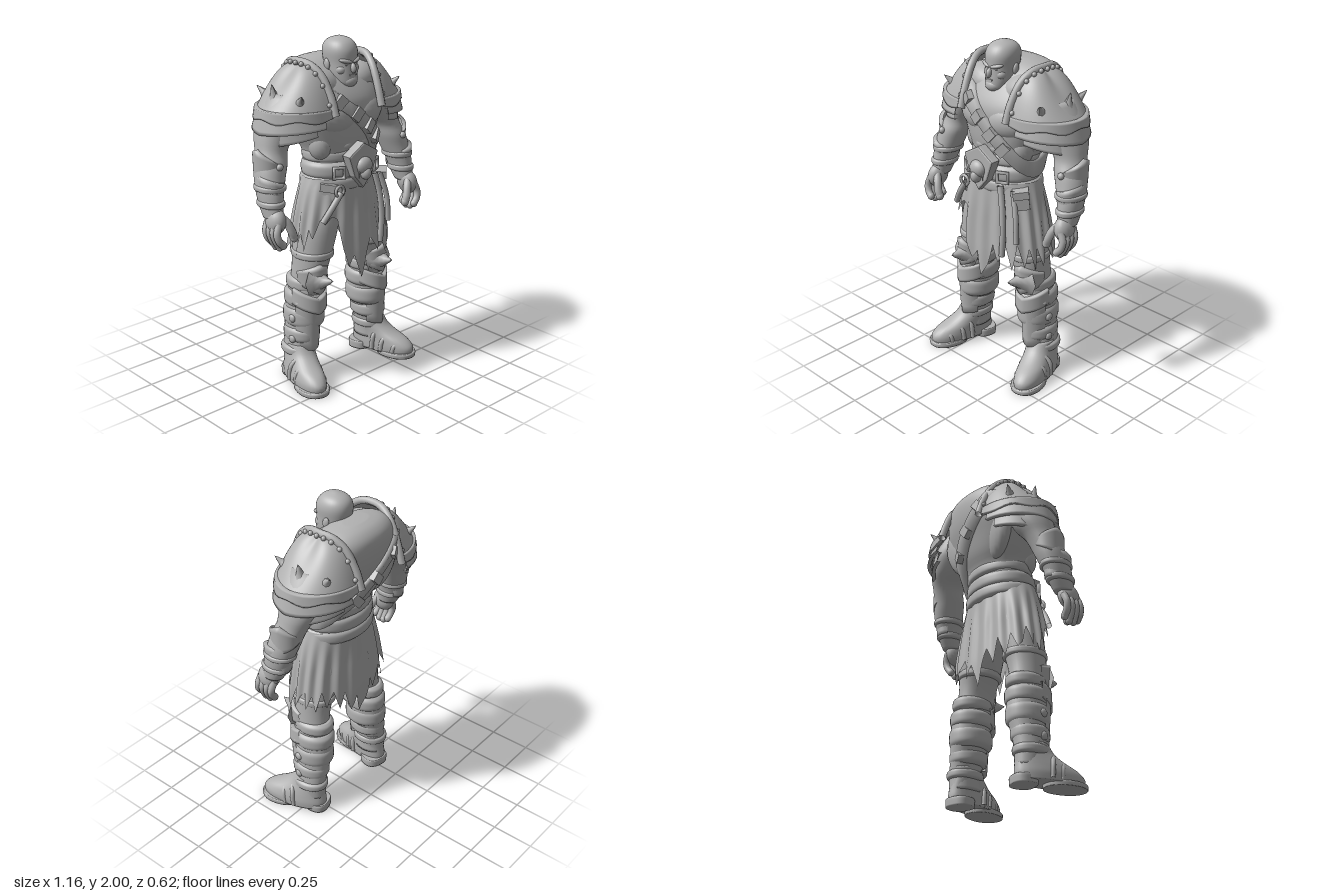
import * as THREE from 'three';

const { sin, cos, abs, min, max, PI } = Math;
const grey = new THREE.MeshStandardMaterial({ color: 0xb2b2b2, side: THREE.DoubleSide });
grey.name = 'stone grey';

function add(parent, name, geo, pos = [0, 0, 0], rot = [0, 0, 0], scale = [1, 1, 1]) {
  const m = new THREE.Mesh(geo, grey);
  m.name = name;
  m.position.set(...pos); m.rotation.set(...rot); m.scale.set(...scale);
  parent.add(m);
  return m;
}
// Surface from a rule fn(u, v) -> [x, y, z]; wrap closes it around u
function grid(fn, nu, nv, wrap = false) {
  const pos = [], idx = [], cols = wrap ? nu : nu + 1;
  for (let j = 0; j <= nv; j++) for (let i = 0; i < cols; i++) pos.push(...fn(i / nu, j / nv));
  for (let j = 0; j < nv; j++) for (let i = 0; i < nu; i++) {
    const a = j * cols + i, b = j * cols + (i + 1) % cols;
    idx.push(a, a + cols, b, b, a + cols, b + cols);
  }
  const g = new THREE.BufferGeometry();
  g.setAttribute('position', new THREE.Float32BufferAttribute(pos, 3));
  g.setIndex(idx);
  g.computeVertexNormals();
  return g;
}
// Point on a unit superellipse in the direction a
function ring(a, p) {
  const c = cos(a), s = sin(a), r = (abs(c) ** p + abs(s) ** p) ** (-1 / p);
  return [r * c, r * s];
}
// Rounded body through rows [y, cx, cz, rx, rz], listed from the bottom up
function loft(rows, p = 2, nu = 32) {
  const steps = (rows.length - 1) * 4, cr = (a, b, c, d, t) =>
    b + 0.5 * t * (c - a + t * (2 * a - 5 * b + 4 * c - d + t * (3 * (b - c) + d - a)));
  return grid((u, v) => {
    const k = v * (steps + 2) - 1, s = min(max(k, 0), steps) / 4;
    const i = min(Math.floor(s + 1e-6), rows.length - 2), at = n => rows[min(max(n, 0), rows.length - 1)];
    const r = rows[0].map((_, c) => cr(at(i - 1)[c], at(i)[c], at(i + 1)[c], at(i + 2)[c], s - i));
    const q = k < -0.5 || k > steps + 0.5 ? 0 : 1, [ex, ez] = ring(u * 2 * PI, p);
    return [r[1] + q * r[3] * ex, r[0], r[2] + q * r[4] * ez];
  }, nu, steps + 2, true);
}
// Curved armour plate around a vertical axis; t runs -1..1 across it
function plate(parent, name, [cx, cz], [rx, rz], mid, half, bot, top, flare = 0, ridge = 0) {
  return add(parent, name, grid((u, v) => {
    const t = 2 * u - 1, a = mid + t * half, w = min(max((v * 8 - 1) / 6, 0), 1);
    const k = 1 + flare * (1 - w) + ridge * (1 - abs(t)) - (v === 0 || v === 1 ? 0.025 / rx : 0);
    return [cx + rx * k * cos(a), bot(t) + (top(t) - bot(t)) * w, cz + rz * k * sin(a)];
  }, 24, 8));
}
const ball = (p, name, pos, s, rot) => add(p, name, new THREE.SphereGeometry(1, 20, 14), pos, rot, s);
const box = (p, name, pos, s, rot) => add(p, name, new THREE.BoxGeometry(...s), pos, rot);
const tube = (p, name, pts, r, n = 20) => add(p, name, new THREE.TubeGeometry(
  new THREE.CatmullRomCurve3(pts.map(q => new THREE.Vector3(...q))), n, r, 10));
// Puffy strap around a limb or waist
const band = (p, name, y, h, cx, cz, rx, rz, b = 0.015) => add(p, name, loft(
  [[-1, -0.008], [-0.6, b * 0.75], [0, b], [0.6, b * 0.75], [1, -0.008]].map(([t, o]) => [y + t * h, cx, cz, rx + o, rz + o])));
// Curved horn: tip bends by bend in local z
function horn(p, name, pos, rot, r, h, bend = 0) {
  const g = new THREE.ConeGeometry(r, h, 8, 5), a = g.attributes.position;
  for (let i = 0; i < a.count; i++) {
    const t = a.getY(i) / h + 0.5, k = 1 - 0.35 * sin(PI * t);
    a.setXYZ(i, a.getX(i) * k, t * h, a.getZ(i) * k + bend * t * t);
  }
  g.computeVertexNormals();
  return add(p, name, g, pos, rot);
}

const torsoRows = [
  [1.02, 0, 0, 0.22, 0.13], [1.2, 0, 0.015, 0.215, 0.15], [1.35, 0, 0.01, 0.21, 0.155],
  [1.45, 0, -0.005, 0.25, 0.185], [1.55, 0, -0.018, 0.295, 0.203], [1.65, 0, -0.035, 0.315, 0.215],
  [1.75, 0, -0.07, 0.3, 0.19], [1.82, 0, -0.1, 0.25, 0.15], [1.865, 0, -0.11, 0.18, 0.1], [1.885, 0, -0.11, 0.08, 0.045]];

function torso(g) {
  add(g, 'torso', loft(torsoRows, 2.3, 48));
  add(g, 'neck', loft([[1.64, 0, 0.02, 0.15, 0.13], [1.73, 0, 0.01, 0.115, 0.1], [1.84, 0, 0, 0.088, 0.075]]));
  for (const s of [-1, 1]) {
    ball(g, 'chestMuscle', [s * 0.125, 1.575, 0.11], [0.14, 0.1, 0.08], [0, s * 0.3, s * 0.15]);
    ball(g, 'collarMuscle', [s * 0.13, 1.73, 0.0], [0.15, 0.1, 0.12], [0, 0, s * 0.25]);
    ball(g, 'backMuscle', [s * 0.14, 1.58, -0.125], [0.15, 0.2, 0.065], [0, s * 0.25, s * -0.2]);
    for (let i = 0; i < 3; i++) ball(g, 'abdominal', [s * 0.05, 1.47 - i * 0.06, 0.14], [0.05, 0.034, 0.036]);
    ball(g, 'sideMuscle', [s * 0.165, 1.42, 0.06], [0.07, 0.1, 0.075]);
  }
  // Diagonal chest strap that follows the body
  const body = y => {
    const i = min(max(torsoRows.findIndex(r => r[0] > y), 1), 9), a = torsoRows[i - 1], b = torsoRows[i];
    return a.map((v, k) => v + (b[k] - v) * (y - a[0]) / (b[0] - a[0]));
  };
  const on = (a, dy, off) => {
    const y = min(1.57 - 0.27 * cos(a), 1.72) + dy, [, , cz, rx, rz] = body(y), [ex, ez] = ring(a, 2.3);
    return [(rx + off) * ex, y, cz + (rz + off) * ez];
  };
  const prof = [[-0.05, 0], [-0.045, 0.028], [0.045, 0.028], [0.05, 0]];
  add(g, 'chestStrap', grid((u, v) => on(u * 2 * PI, ...prof[Math.round(v * 3)]), 64, 3, true));
  for (const a of [1.05, 1.35, 1.65, 1.95, 4.3, 4.7, 5.1])
    box(g, 'strapPouch', on(a, 0, 0.025), [0.055, 0.075, 0.035], [0, PI / 2 - a, a < 3 ? -0.75 : 0.75]);
}

function head(g) {
  add(g, 'head', loft([[1.735, 0, 0.085, 0.04, 0.05], [1.75, 0, 0.075, 0.062, 0.072], [1.8, 0, 0.05, 0.08, 0.095],
    [1.86, 0, 0.04, 0.084, 0.1], [1.92, 0, 0.036, 0.089, 0.104], [1.96, 0, 0.033, 0.078, 0.09],
    [1.985, 0, 0.033, 0.053, 0.06], [2, 0, 0.033, 0.01, 0.012]], 2.2));
  ball(g, 'nose', [0, 1.835, 0.143], [0.016, 0.028, 0.02], [-0.3, 0, 0]);
  ball(g, 'beard', [0, 1.76, 0.112], [0.05, 0.036, 0.042]);
  box(g, 'mouth', [0, 1.797, 0.143], [0.05, 0.008, 0.012]);
  for (const s of [-1, 1]) {
    ball(g, 'brow', [s * 0.036, 1.874, 0.122], [0.04, 0.013, 0.022], [0, s * 0.35, s * 0.22]);
    ball(g, 'eye', [s * 0.033, 1.854, 0.123], [0.014, 0.007, 0.012]);
    ball(g, 'cheek', [s * 0.045, 1.825, 0.095], [0.032, 0.03, 0.034]);
    ball(g, 'ear', [s * 0.087, 1.85, 0.025], [0.012, 0.033, 0.021], [-0.2, 0, 0]);
  }
}

function waist(g) {
  band(g, 'waistWrap', 1.35, 0.04, 0, 0.01, 0.205, 0.155, 0.016);
  band(g, 'belt', 1.27, 0.05, 0, 0.02, 0.216, 0.165, 0.016);
  band(g, 'hipWrap', 1.195, 0.045, 0, 0.02, 0.226, 0.165, 0.018);
  // Central buckle: shield plate with a face-like boss
  const s = new THREE.Shape([[0, -0.12], [0.06, -0.05], [0.1, 0.06], [0.05, 0.09], [0, 0.12],
    [-0.05, 0.09], [-0.1, 0.06], [-0.06, -0.05]].map(p => new THREE.Vector2(...p)));
  add(g, 'buckleShield', new THREE.ExtrudeGeometry(s, { depth: 0.04, bevelSize: 0.01, bevelThickness: 0.012, bevelSegments: 2 }), [0, 1.3, 0.185]);
  ball(g, 'buckleBoss', [0, 1.3, 0.235], [0.055, 0.05, 0.04]);
  ball(g, 'buckleChin', [0, 1.26, 0.25], [0.03, 0.04, 0.035]);
  for (const k of [-1, 1]) {
    horn(g, 'buckleFang', [k * 0.04, 1.29, 0.24], [PI, 0, 0], 0.014, 0.06);
    add(g, 'sideBuckle', new THREE.TorusGeometry(0.042, 0.012, 8, 4), [k * 0.14, 1.27, 0.185], [0, k * 0.5, PI / 4]);
    box(g, 'pouch', [0.03 + k * 0.2, 1.15, 0.125], [0.085, 0.11, 0.07], [0, k * 0.8, k * 0.12]);
    box(g, 'pouchFlap', [0.03 + k * 0.2, 1.185, 0.13], [0.092, 0.045, 0.08], [0, k * 0.8, k * 0.12]);
  }
  // Ragged skirt with folds; hem heights run from the left side through the front
  const hem = [.82, .74, .85, .72, .86, .74, .88, .72, .86, .75, .84, .7, .62, .76, .7, .82, 1, 1.02, .98, 1, .9, .95, .82, .92,
    .78, .9, .8, .92, .82, .78, .88, .74, .86, .72, .82, .7, .62, .76, .68, .82, .74, .86, .76, .88, .74, .84, .76, .86];
  add(g, 'raggedSkirt', grid((u, v) => {
    const i = Math.floor(u * 48), f = u * 48 - i, a = u * 2 * PI;
    const b = hem[i] * (1 - f) + hem[(i + 1) % 48] * f, y = 1.23 + (b - 1.23) * (1 - v);
    const d = min(1, max(0, (1.22 - y) / 0.45)), k = 0.009 * sin(a * 17) * min(1, d * 2);
    const rx = 0.24 + 0.09 * d ** 0.7 + k, rz = 0.165 + 0.022 * d + k, [ex, ez] = ring(a, 2 + 0.8 * d);
    return [rx * ex, y, 0.028 + rz * ez];
  }, 192, 14, true));
  // Hanging straps, tools and tassels
  tube(g, 'hangingStrap', [[0.13, 1.22, 0.19], [0.16, 1.08, 0.205], [0.17, 0.95, 0.21], [0.16, 0.8, 0.21]], 0.018);
  tube(g, 'hangingStrap', [[0.2, 1.2, 0.16], [0.24, 1.05, 0.18], [0.25, 0.9, 0.185]], 0.016);
  tube(g, 'toolHandle', [[-0.14, 1.16, 0.2], [-0.2, 1.08, 0.19], [-0.25, 1.0, 0.17]], 0.018);
  add(g, 'toolRing', new THREE.TorusGeometry(0.03, 0.009, 8, 20), [-0.15, 1.17, 0.2]);
}

function pauldron(g) {
  const C = [0.2, -0.05];
  add(g, 'shoulderDome', grid((u, v) => {
    const a = (u - 0.5) * PI, f = 1 - v, e = 1.35 + 1.65 * sin(a) ** 2;
    return [C[0] + 0.29 * f * cos(a), 1.6 + 0.27 * (1 - f ** e), C[1] + 0.24 * f * sin(a)];
  }, 32, 16));
  plate(g, 'shoulderEdge', C, [0.285, 0.235], 0, 1.6, t => 1.585 + 0.01 * cos(t * 12), () => 1.64, 0.03, 0.02);
  plate(g, 'shoulderLame', C, [0.265, 0.22], 0, 1.45, t => 1.51 + 0.03 * abs(t), () => 1.62, 0.1, 0.08);
  plate(g, 'shoulderLame', C, [0.25, 0.205], 0, 1.3, t => 1.435 + 0.06 * abs(t), () => 1.56, 0.05, 0.1);
  // Raised collar rim with studs
  const rim = f => [0.2 + 0.025 * cos(f * 3), 1.6 + 0.275 * (1 - abs(f) ** 3), -0.05 + 0.245 * f];
  tube(g, 'collarRim', [-1, -0.85, -0.6, -0.3, 0, 0.3, 0.6, 0.85, 1].map(rim), 0.022, 40);
  for (let i = -5; i <= 5; i++) {
    const [x, y, z] = rim(i / 5.5);
    ball(g, 'rimStud', [x + 0.025, y - 0.005, z], [0.014, 0.014, 0.014]);
  }
  horn(g, 'shoulderSpike', [0.385, 1.67, -0.06], [0, 0, -0.25], 0.055, 0.11);
  horn(g, 'shoulderSpike', [0.335, 1.67, 0.08], [0.75, 0, -0.4], 0.055, 0.095);
  horn(g, 'shoulderSpike', [0.335, 1.67, -0.18], [-0.75, 0, -0.4], 0.055, 0.095);
}

function arm(g) {
  add(g, 'arm', loft([[1.07, 0.512, 0.055, 0.048, 0.066], [1.13, 0.507, 0.033, 0.058, 0.078], [1.2, 0.5, 0.016, 0.07, 0.087],
    [1.28, 0.482, -0.005, 0.084, 0.092], [1.35, 0.46, -0.02, 0.09, 0.094], [1.42, 0.435, -0.045, 0.09, 0.095],
    [1.5, 0.395, -0.06, 0.115, 0.12], [1.6, 0.355, -0.06, 0.125, 0.135], [1.72, 0.31, -0.05, 0.09, 0.11]]));
  plate(g, 'elbowGuard', [0.465, -0.02], [0.088, 0.095], -0.15, 1.5, t => 1.27 + 0.07 * abs(t), t => 1.44 - 0.07 * abs(t), -0.05, 0.1);
  ball(g, 'elbowStud', [0.475, 1.35, 0.075], [0.02, 0.02, 0.018]);
  plate(g, 'bracer', [0.497, 0.018], [0.068, 0.087], -0.1, 2.3, t => 1.13 + 0.02 * abs(t), t => 1.3 - 0.04 * abs(t), -0.08, 0.06);
  band(g, 'bracerStrap', 1.23, 0.02, 0.494, 0.01, 0.074, 0.089, 0.01);
  band(g, 'wristStrap', 1.145, 0.022, 0.506, 0.03, 0.06, 0.08, 0.01);
  // Hand with relaxed fingers
  ball(g, 'palm', [0.515, 1.055, 0.08], [0.05, 0.075, 0.068], [-0.2, 0, 0.12]);
  for (let i = 0; i < 4; i++) {
    const z = 0.03 + i * 0.032, d = 0.925 - 0.02 * sin(i * 1.1);
    tube(g, 'finger', [[0.53, 1.05, z], [0.55, 0.995, z + 0.006], [0.54, 0.955, z + 0.012], [0.515, d, z + 0.016]], 0.021, 12);
    ball(g, 'fingertip', [0.515, d, z + 0.016], [0.021, 0.023, 0.021]);
  }
  tube(g, 'thumb', [[0.5, 1.08, 0.1], [0.47, 1.04, 0.125], [0.45, 0.99, 0.14], [0.437, 0.955, 0.14]], 0.024, 12);
  ball(g, 'thumbTip', [0.437, 0.955, 0.14], [0.024, 0.027, 0.024]);
}

function leg(g) {
  add(g, 'leg', loft([[0.1, 0.285, -0.01, 0.075, 0.1], [0.2, 0.285, -0.01, 0.078, 0.098], [0.3, 0.267, -0.01, 0.085, 0.105],
    [0.4, 0.25, -0.005, 0.1, 0.12], [0.5, 0.245, 0, 0.1, 0.12], [0.6, 0.237, 0.015, 0.09, 0.11], [0.7, 0.222, 0.025, 0.097, 0.115],
    [0.8, 0.2, 0.025, 0.112, 0.125], [0.95, 0.165, 0.02, 0.125, 0.135], [1.1, 0.12, 0.01, 0.11, 0.13]]));
  band(g, 'thighStrap', 0.78, 0.025, 0.203, 0.025, 0.11, 0.125, 0.008);
  for (const [y, h, cx, rx, rz] of [[0.6, 0.04, 0.237, 0.09, 0.112], [0.51, 0.05, 0.243, 0.1, 0.12],
    [0.4, 0.06, 0.25, 0.1, 0.12], [0.29, 0.045, 0.268, 0.085, 0.105]])
    band(g, 'legWrap', y, h, cx, 0, rx, rz, 0.012);
  band(g, 'ankleCuff', 0.19, 0.03, 0.287, -0.01, 0.08, 0.1, 0.012);
  const f = PI / 2 - 0.15;
  plate(g, 'kneePlate', [0.235, 0.02], [0.098, 0.122], f, 1.3, t => 0.56 + 0.06 * abs(t), t => 0.74 - 0.05 * abs(t), -0.08, 0.18);
  horn(g, 'kneeSpike', [0.245, 0.635, 0.11], [PI / 2, 0, 0.08], 0.095, 0.13, -0.03);
  plate(g, 'kneeLame', [0.245, 0.01], [0.108, 0.128], f, 1.35, t => 0.44 + 0.05 * abs(t), t => 0.535 + 0.05 * abs(t), 0.02, 0.13);
  plate(g, 'shinGuard', [0.263, 0], [0.098, 0.125], f, 1.05, t => 0.2 + 0.02 * abs(t), t => 0.48 + 0.03 * abs(t), -0.14, 0.08);
  for (const y of [0.27, 0.4]) ball(g, 'shinBuckle', [0.36 - y * 0.01, y, 0.02], [0.016, 0.025, 0.025]);
  // Boot, turned outward
  const boot = new THREE.Group();
  boot.name = 'boot';
  boot.position.set(0.283, 0, -0.015); boot.rotation.y = 0.24;
  add(boot, 'bootUpper', loft([[0.02, 0.015, 0.108, 0.086, 0.205], [0.06, 0.015, 0.108, 0.088, 0.207], [0.1, 0.012, 0.09, 0.084, 0.185],
    [0.14, 0.006, 0.052, 0.08, 0.143], [0.18, 0, 0.025, 0.078, 0.113], [0.23, 0, 0.005, 0.076, 0.097]], 2.2));
  add(boot, 'frontSole', loft([[0, 0.017, 0.2, 0.092, 0.125], [0.022, 0.017, 0.2, 0.094, 0.127], [0.03, 0.017, 0.2, 0.089, 0.12]], 2.2));
  add(boot, 'heel', loft([[0, 0, -0.04, 0.078, 0.07], [0.04, 0, -0.04, 0.08, 0.072], [0.05, 0, -0.04, 0.075, 0.068]], 2.6));
  for (const [z, h, w] of [[0.245, 0.1, 0.066], [0.17, 0.14, 0.08], [0.11, 0.175, 0.086]])
    tube(boot, 'bootStrap', [[w + 0.012, 0.03, z - 0.03], [w * 0.9 + 0.012, h * 0.7, z - 0.02], [0.012, h - 0.004, z],
      [0.012 - w * 0.9, h * 0.7, z - 0.02], [0.012 - w, 0.03, z - 0.03]], 0.015);
  g.add(boot);
}

export function createModel() {
  const model = new THREE.Group();
  model.name = 'armouredWarrior';
  for (const [name, build] of Object.entries({ torso, head, waist })) {
    const g = new THREE.Group();
    g.name = name + 'Group';
    build(g);
    model.add(g);
  }
  for (const [name, build] of Object.entries({ pauldron, arm, leg })) for (const s of [1, -1]) {
    const g = new THREE.Group();
    g.name = (s > 0 ? 'left ' : 'right ') + name;
    g.scale.x = s;
    build(g);
    model.add(g);
  }
  return model;
}
